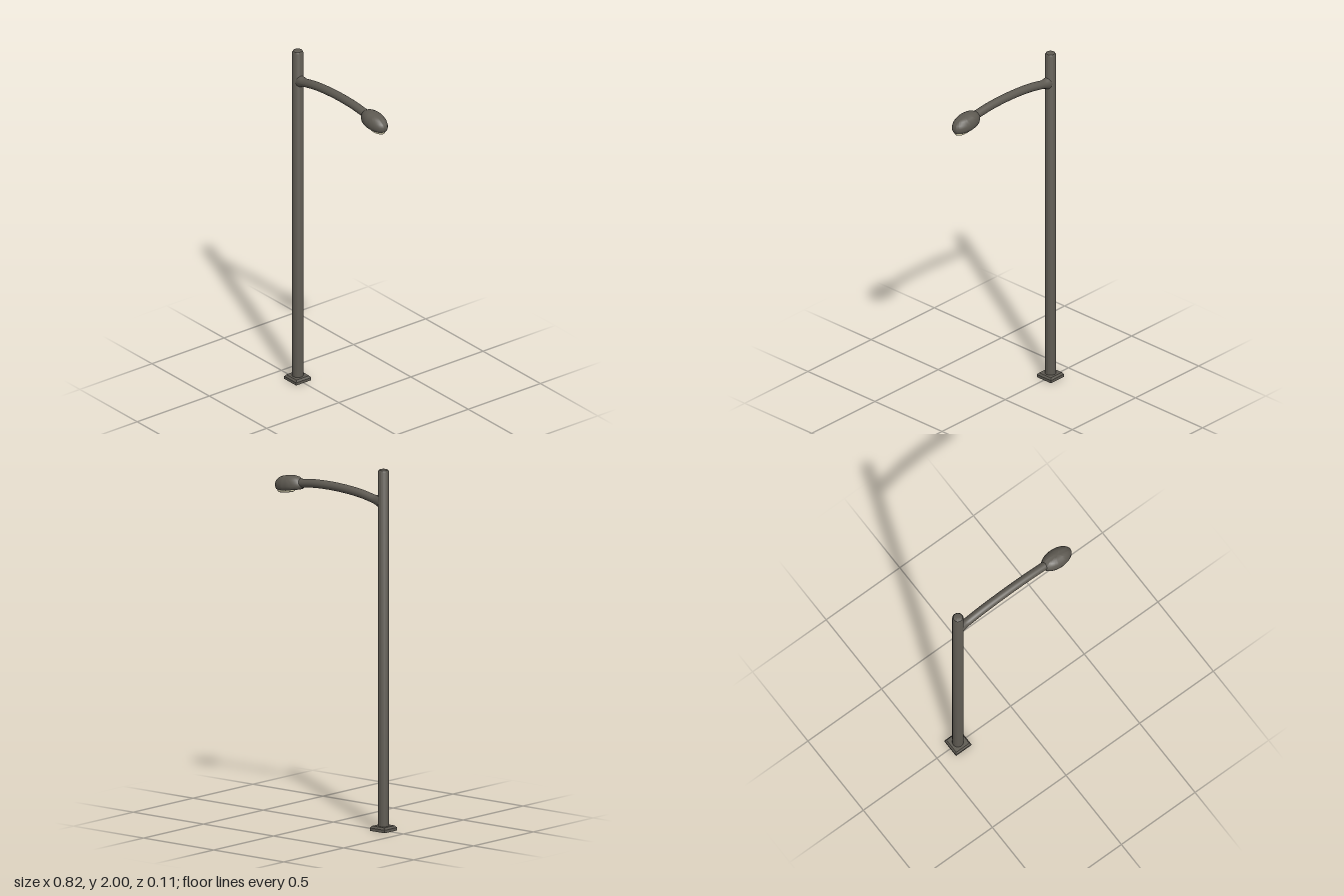
import * as THREE from 'three';
import { toCreasedNormals } from 'three/addons/utils/BufferGeometryUtils.js';

const metal = new THREE.MeshStandardMaterial({ color: 0x5e5a52 });
const glass = new THREE.MeshStandardMaterial({ color: 0xe6dfbc });

// Revolved profile of [radius, height] pairs, keeping sharp edges
function turned(name, profile, segments, material, crease = 0.6, start = 0) {
  const points = profile.map(([r, y]) => new THREE.Vector2(r, y));
  const geometry = toCreasedNormals(new THREE.LatheGeometry(points, segments, start), crease);
  const mesh = new THREE.Mesh(geometry, material);
  mesh.name = name;
  return mesh;
}

export function createModel() {
  const model = new THREE.Group();
  model.name = 'streetLight';
  const poleX = -0.358;

  // Square foot with a bevelled top edge
  const q = Math.SQRT2;
  const base = turned('basePlate',
    [[0, 0], [0.052 * q, 0], [0.052 * q, 0.016], [0.044 * q, 0.027], [0, 0.027]],
    4, metal, 0.3, Math.PI / 4);
  base.position.x = poleX;
  model.add(base);

  // Round pole with a chamfered cap
  const pole = turned('pole',
    [[0, 0.01], [0.031, 0.01], [0.031, 1.985], [0.025, 1.997], [0.018, 2], [0, 2]],
    32, metal);
  pole.position.x = poleX;
  model.add(pole);

  // Arched arm, flared where it meets the pole
  const path = new THREE.CatmullRomCurve3([
    [-0.35, 1.819], [-0.3, 1.826], [-0.2, 1.845], [-0.09, 1.856], [0.02, 1.86],
    [0.13, 1.857], [0.22, 1.848], [0.27, 1.842],
  ].map(([x, y]) => new THREE.Vector3(x, y, 0)));
  const rings = 48, sides = 24;
  const armGeometry = new THREE.TubeGeometry(path, rings, 0.0235, sides);
  const pos = armGeometry.attributes.position;
  for (let i = 0; i <= rings; i++) {
    const c = path.getPointAt(i / rings);
    const flare = Math.pow(THREE.MathUtils.clamp((-0.285 - c.x) / 0.045, 0, 1), 2);
    for (let j = 0; j <= sides; j++) {
      const k = i * (sides + 1) + j;
      pos.setY(k, c.y + (pos.getY(k) - c.y) * (1 + 0.5 * flare));
      pos.setZ(k, pos.getZ(k) * (1 + 0.18 * flare));
    }
  }
  armGeometry.computeVertexNormals();
  const arm = new THREE.Mesh(armGeometry, metal);
  arm.name = 'arm';
  model.add(arm);

  // Oval lamp head, tipped slightly down at its tip
  const head = new THREE.Group();
  head.name = 'lampHead';
  head.position.set(0.307, 1.803, 0);
  head.rotation.z = -0.13;
  const housing = turned('housing',
    [[0, 0], [0.046, 0], [0.051, 0.006], [0.054, 0.02], [0.053, 0.036], [0.048, 0.052],
      [0.038, 0.066], [0.026, 0.073], [0.012, 0.0765], [0, 0.077]],
    48, metal);
  housing.scale.x = 1.79;
  head.add(housing);

  // Shallow oval lens under the head
  const lens = turned('lens',
    [[0, -0.015], [0.026, -0.015], [0.033, -0.011], [0.035, -0.004], [0.035, 0.004], [0, 0.004]],
    40, glass);
  lens.scale.x = 1.65;
  lens.position.x = 0.028;
  head.add(lens);
  model.add(head);

  return model;
}
